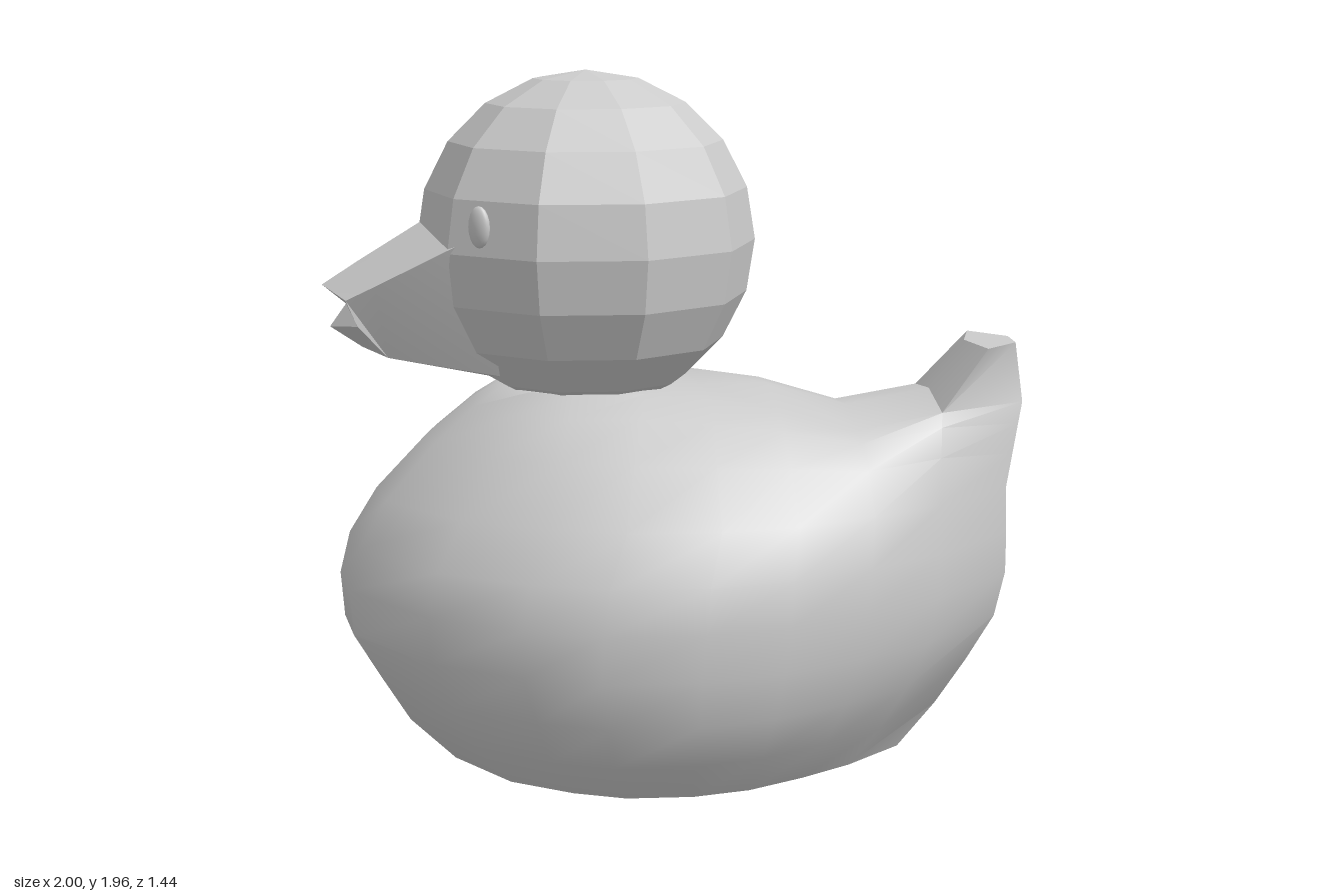
import * as THREE from 'three';
import { toCreasedNormals } from 'three/addons/utils/BufferGeometryUtils.js';

const grey = () => new THREE.MeshStandardMaterial({ color: 0xcccccc, side: THREE.DoubleSide });

// Completes a half outline (z >= 0) with its mirror image
const mirrorRing = half => [
  ...half,
  ...half.slice(1, -1).reverse().map(([x, y, z]) => [x, y, -z]),
];

// Adds the quads between successive rows of points
function loft(out, rows, closed = true) {
  for (let i = 0; i + 1 < rows.length; i++) {
    const n = rows[i].length;
    for (let j = 0; j < (closed ? n : n - 1); j++) {
      const k = (j + 1) % n;
      const a = rows[i][j], b = rows[i][k], c = rows[i + 1][k], d = rows[i + 1][j];
      out.push(a, b, c, a, c, d);
    }
  }
}

// Closes a ring with a fan about its centre
function cap(out, ring, flip) {
  const c = [0, 1, 2].map(k => ring.reduce((s, p) => s + p[k], 0) / ring.length);
  ring.forEach((p, j) => {
    const q = ring[(j + 1) % ring.length];
    out.push(c, ...(flip ? [q, p] : [p, q]));
  });
}

function meshFrom(name, points, crease) {
  const g = new THREE.BufferGeometry();
  g.setAttribute('position', new THREE.Float32BufferAttribute(points.flat(), 3));
  const mesh = new THREE.Mesh(toCreasedNormals(g, crease), grey());
  mesh.name = name;
  return mesh;
}

function makeBody() {
  const tris = [];
  // Plan outline: fraction of length, fraction of half width
  const plan = [[0, 0], [0.02, 0.29], [0.14, 0.7], [0.27, 0.9], [0.38, 1], [0.52, 1],
    [0.64, 0.92], [0.76, 0.75], [0.87, 0.56], [0.995, 0.19], [1, 0]];
  // Levels: height, breast x, rear x, half width
  const levels = [[0, -0.67, 0.65, 0.52], [0.13, -0.8, 0.76, 0.64], [0.26, -0.88, 0.85, 0.705],
    [0.39, -0.96, 0.93, 0.72], [0.52, -0.97, 0.96, 0.72], [0.64, -0.94, 0.96, 0.69],
    [0.77, -0.86, 0.955, 0.61]];
  const halves = levels.map(([y, x0, x1, w]) => plan.map(([u, v], j) =>
    [x0 + u * (x1 - x0), y, j === 9 ? 0.137 : v * w]));

  // Upper rim, dipping along the back towards the tail
  const rim = [[-0.5, 1.08, 0], [-0.49, 1.08, 0.08], [-0.42, 1.08, 0.2], [-0.3, 1.08, 0.25],
    [-0.1, 1.08, 0.25], [0.08, 1.06, 0.25], [0.27, 1.03, 0.265], [0.5, 0.965, 0.24],
    [0.74, 1.01, 0.225], [1, 1.01, 0.075], [1, 1.01, 0]];
  const shoulder = halves[6];
  for (const t of [0.4, 0.75]) {
    const bulge = 0.12 * t * (1 - t);
    halves.push(rim.map((p, j) => p.map((v, k) => {
      const s = shoulder[j][k] + (v - shoulder[j][k]) * t;
      return k === 1 && j < 9 ? s + bulge : s;
    })));
  }
  halves.push(rim);
  const rings = halves.map(mirrorRing);
  loft(tris, rings);
  cap(tris, rings[0], true);

  // Gently crowned back
  loft(tris, rim.slice(0, 9).map(([x, y, z], j) =>
    [[x, y, -z], [x, y + (j > 5 ? 0.03 : 0), 0], [x, y, z]]), false);

  // Raised tail
  const tail = [
    [[0.74, 1.04, 0], rim[8], rim[9], rim[10]],
    [[0.84, 1.18, 0], [0.88, 1.18, 0.16], [0.98, 1.18, 0.055], [0.98, 1.18, 0]],
  ].map(mirrorRing);
  loft(tris, tail);
  cap(tris, tail[1], false);
  return meshFrom('body', tris, 0.6);
}

function makeBeak() {
  const tris = [];
  // Half sections from tip to base: top centre, top side, lower side, lower centre
  const rings = [
    [[-1, 1.36, 0], [-0.92, 1.345, 0.215], [-0.89, 1.27, 0.2], [-0.98, 1.24, 0]],
    [[-0.9, 1.425, 0], [-0.84, 1.385, 0.235], [-0.81, 1.175, 0.16], [-0.89, 1.18, 0]],
    [[-0.6, 1.61, 0], [-0.56, 1.53, 0.31], [-0.5, 1.13, 0.22], [-0.47, 1.08, 0]],
  ].map(mirrorRing);
  loft(tris, rings);
  cap(tris, rings[0], true);
  return meshFrom('beak', tris, 0.35);
}

export function createModel() {
  const model = new THREE.Group();
  model.name = 'duck';
  model.add(makeBody(), makeBeak());

  // Faceted head
  const headMaterial = grey();
  headMaterial.flatShading = true;
  const head = new THREE.Mesh(new THREE.SphereGeometry(0.48, 10, 10), headMaterial);
  head.name = 'head';
  head.position.set(-0.25, 1.48, 0);
  model.add(head);

  // Flattened oval eyes facing outwards
  for (const side of [-1, 1]) {
    const eye = new THREE.Mesh(new THREE.SphereGeometry(1, 16, 10), grey());
    eye.name = 'eye';
    eye.scale.set(0.034, 0.057, 0.018);
    eye.position.set(-0.55, 1.56, side * 0.345);
    eye.rotation.y = Math.atan2(-0.3, side * 0.4);
    model.add(eye);
  }
  return model;
}
